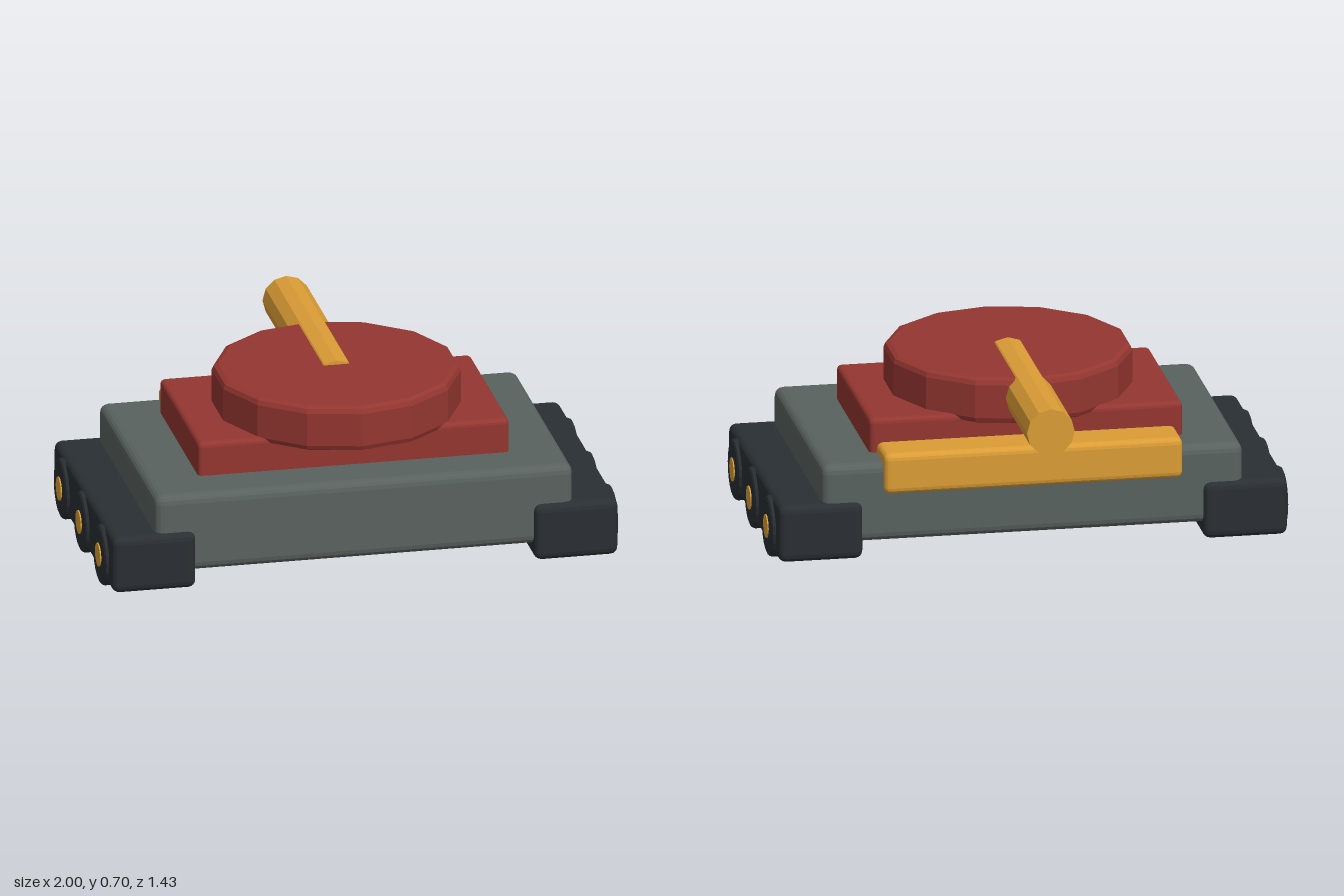
import * as THREE from 'three';
import { RoundedBoxGeometry } from 'three/addons/geometries/RoundedBoxGeometry.js';

const paint = (color) => new THREE.MeshStandardMaterial({ color, flatShading: true });
const grey = paint(0x59625f), red = paint(0x943630), gold = paint(0xdb9d35), dark = paint(0x2a2f33);

// Soft-edged box given by its minimum and maximum corners
function block(name, min, max, radius, material) {
  const size = max.map((v, i) => v - min[i]);
  const mesh = new THREE.Mesh(new RoundedBoxGeometry(...size, 2, radius), material);
  mesh.position.set(...max.map((v, i) => (v + min[i]) / 2));
  mesh.name = name;
  return mesh;
}

// Closed upright drum with bevelled rims, centred on its own origin
function drum(name, radius, height, bevel, sides, material) {
  const h = height / 2, soft = bevel * 0.3;
  const profile = [
    [0, -h], [radius - bevel, -h], [radius - soft, -h + soft], [radius, -h + bevel],
    [radius, h - bevel], [radius - soft, h - soft], [radius - bevel, h], [0, h],
  ].map(([x, y]) => new THREE.Vector2(x, y));
  const mesh = new THREE.Mesh(new THREE.LatheGeometry(profile, sides), material);
  mesh.name = name;
  return mesh;
}

export function createModel() {
  const model = new THREE.Group();
  model.name = 'tank';

  // Hull, raised deck and rear stowage box
  model.add(
    block('hull', [-0.81, 0.085, -0.34], [0.81, 0.395, 0.69], 0.035, grey),
    block('deck', [-0.603, 0.33, -0.2], [0.603, 0.528, 0.5], 0.02, red),
    block('rearBox', [-0.575, 0.275, -0.362], [0.575, 0.435, -0.16], 0.025, gold),
  );

  // Fourteen-sided turret
  const turret = drum('turret', 0.472, 0.18, 0.025, 14, red);
  turret.position.set(0, 0.59, 0.18);
  model.add(turret);

  // Gun barrel, partly sunk in the turret and pointing to the rear
  const barrel = new THREE.Mesh(new THREE.CylinderGeometry(0.092, 0.092, 0.902, 12), gold);
  barrel.name = 'barrel';
  barrel.rotation.x = Math.PI / 2;
  barrel.position.set(0, 0.605, -0.264);
  model.add(barrel);

  // Track on each side, with three wheels and hubs
  for (const side of [1, -1]) {
    const running = new THREE.Group();
    running.name = side > 0 ? 'leftTrack' : 'rightTrack';
    const inner = side * 0.655, outer = side * 0.98;
    running.add(block('trackBody',
      [Math.min(inner, outer), 0.025, -0.36], [Math.max(inner, outer), 0.25, 0.715], 0.03, dark));
    for (const z of [0.53, 0.18, -0.175]) {
      const wheel = drum('wheel', 0.118, 0.27, 0.015, 20, dark);
      wheel.rotation.z = Math.PI / 2;
      wheel.position.set(side * 0.86, 0.12, z);
      const hub = new THREE.Mesh(new THREE.CylinderGeometry(0.046, 0.046, 0.1, 14), gold);
      hub.name = 'hub';
      hub.rotation.z = Math.PI / 2;
      hub.position.set(side * 0.95, 0.12, z);
      running.add(wheel, hub);
    }
    model.add(running);
  }
  return model;
}
